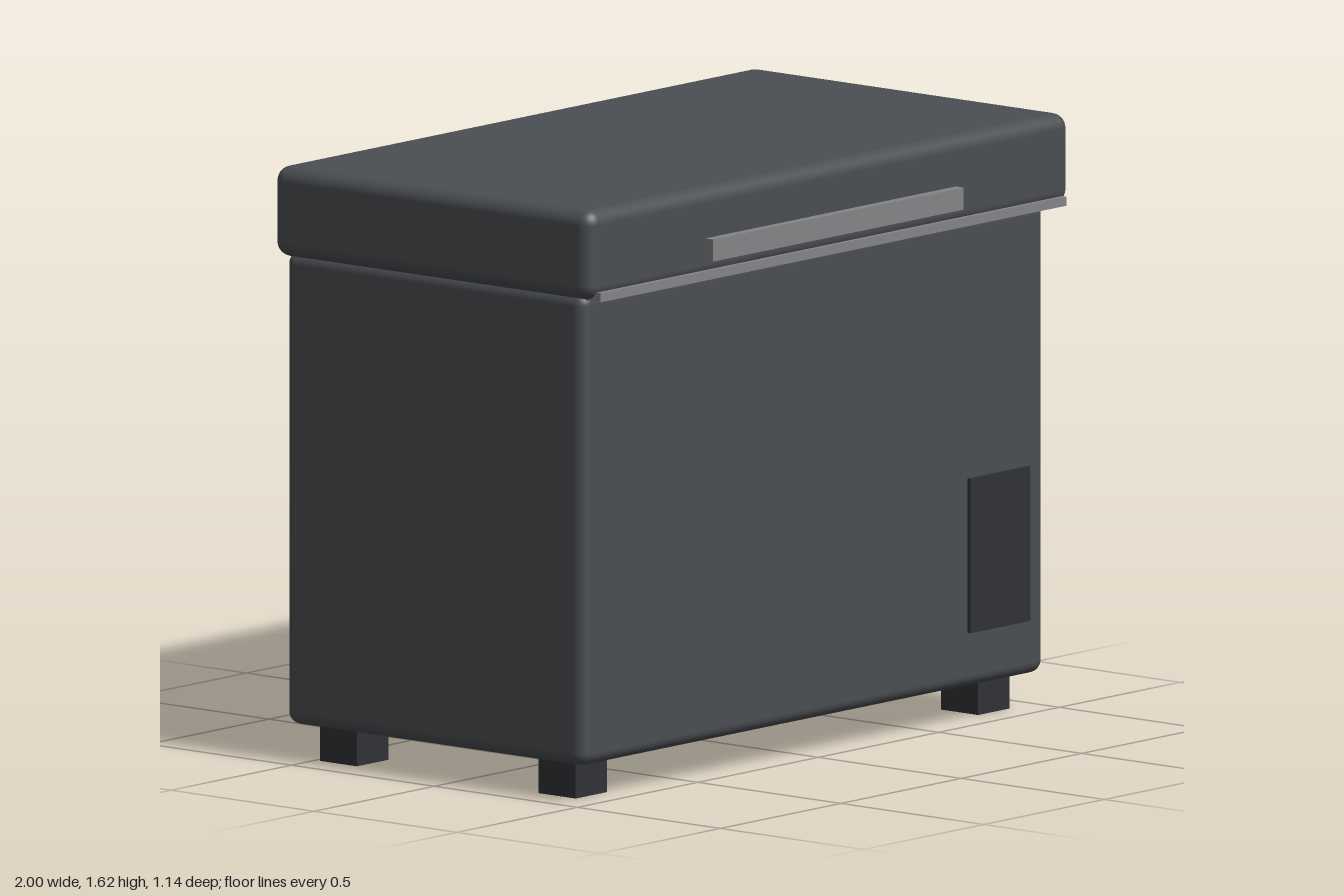
import * as THREE from 'three';
import { RoundedBoxGeometry } from 'three/addons/geometries/RoundedBoxGeometry.js';

export function createModel() {
  const group = new THREE.Group();
  group.name = 'chestFreezer';

  const shell = new THREE.MeshStandardMaterial({ color: 0x4b4e52 });
  const dark = new THREE.MeshStandardMaterial({ color: 0x303236 });
  const metal = new THREE.MeshStandardMaterial({ color: 0x858587 });

  // Box from its min and max corners, with optional rounded edges
  function block(name, material, [x0, y0, z0], [x1, y1, z1], radius = 0) {
    const size = [x1 - x0, y1 - y0, z1 - z0];
    const geometry = radius
      ? new RoundedBoxGeometry(...size, 4, radius)
      : new THREE.BoxGeometry(...size);
    const mesh = new THREE.Mesh(geometry, material);
    mesh.name = name;
    mesh.position.set((x0 + x1) / 2, (y0 + y1) / 2, (z0 + z1) / 2);
    group.add(mesh);
  }

  // Cabinet and overhanging lid
  block('cabinet', shell, [-0.96, 0.1, -0.56], [0.96, 1.385, 0.487], 0.035);
  block('lid', shell, [-1, 1.375, -0.57], [1, 1.62, 0.543], 0.04);

  // Front fittings
  block('lidTrim', metal, [-0.967, 1.373, 0.5], [0.967, 1.398, 0.553]);
  block('handle', metal, [-0.52, 1.425, 0.53], [0.52, 1.485, 0.57]);
  block('ventPanel', dark, [0.635, 0.25, 0.47], [0.885, 0.67, 0.497]);

  // Four square feet
  for (const x of [-0.835, 0.835]) {
    for (const z of [-0.42, 0.345]) {
      block('foot', dark, [x - 0.065, 0, z - 0.065], [x + 0.065, 0.11, z + 0.065]);
    }
  }
  return group;
}
